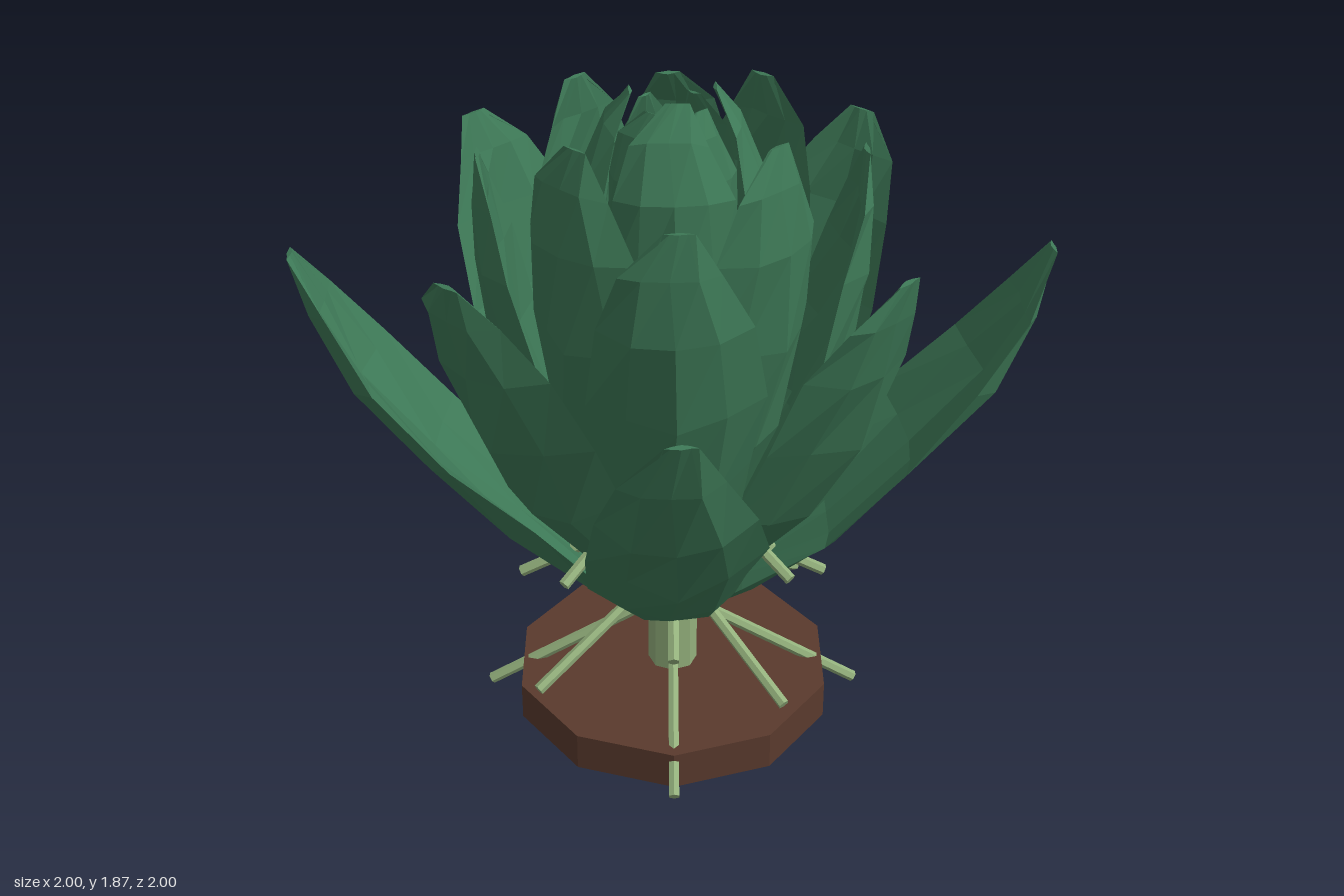
import * as THREE from 'three';

const leafGreen = new THREE.MeshStandardMaterial({ color: 0x3d7856, side: THREE.DoubleSide });
leafGreen.name = 'leafGreen';
leafGreen.flatShading = true;
const stemGreen = new THREE.MeshStandardMaterial({ color: 0x93b07c, flatShading: true });
stemGreen.name = 'stemGreen';
const baseBrown = new THREE.MeshStandardMaterial({ color: 0x5a3a2d, flatShading: true });
baseBrown.name = 'baseBrown';

// Shared leaf outline from root to tip, and the points around one cross-section
const WIDTHS = [0.26, 0.7, 0.93, 1, 0.85, 0.55, 0.17];
const CUPS = [0.25, 0.6, 0.95, 1, 0.78, 0.38, 0.03];
const ACROSS = [-1, -0.55, 0, 0.55, 1, 0.5, 0, -0.5];

// Cupped leaf pointing to +z along a spline of (radius, height) points:
// closed loops of outer and inner points, joined row by row
function leafGeometry(path, halfWidth, cupDepth) {
  const curve = new THREE.SplineCurve(path.map(([r, y]) => new THREE.Vector2(r, y)));
  const n = ACROSS.length;
  const last = WIDTHS.length - 1;
  const pos = [];
  const index = [];
  for (let i = 0; i <= last; i++) {
    const p = curve.getPoint(i / last);
    const dir = curve.getTangent(i / last);
    const w = WIDTHS[i] * halfWidth;
    const thick = Math.min(0.05, w * 0.3);
    const sway = 0.012 * Math.sin(i * 2.3);
    ACROSS.forEach((u, j) => {
      const inner = j > 4 ? thick * (1 - u * u * 0.6) : 0;
      const crease = 0.012 * Math.sin(i * 1.9 + j * 2.7) * Math.min(1, w / 0.2);
      const d = CUPS[i] * cupDepth * u * u * (1 + 0.15 * u) + inner + crease;
      pos.push(u * w + sway, p.y + dir.x * d, p.x - dir.y * d);
    });
  }
  for (let i = 0; i < last; i++) {
    for (let j = 0; j < n; j++) {
      const a = i * n + j;
      const b = i * n + (j + 1) % n;
      index.push(a, b, b + n, a, b + n, a + n);
    }
  }
  // Close the root and the tip
  const tip = last * n;
  for (let j = 1; j < n - 1; j++) {
    index.push(0, j + 1, j, tip, tip + j, tip + j + 1);
  }
  const geometry = new THREE.BufferGeometry();
  geometry.setAttribute('position', new THREE.Float32BufferAttribute(pos, 3));
  geometry.setIndex(index);
  const flat = geometry.toNonIndexed();
  flat.computeVertexNormals();
  return flat;
}

// Thin rod between two points
function rod(from, to, radius) {
  const dir = to.clone().sub(from);
  const mesh = new THREE.Mesh(new THREE.CylinderGeometry(radius, radius, dir.length(), 6), stemGreen);
  mesh.position.copy(from).addScaledVector(dir, 0.5);
  mesh.quaternion.setFromUnitVectors(new THREE.Vector3(0, 1, 0), dir.normalize());
  return mesh;
}

export function createModel() {
  const model = new THREE.Group();
  model.name = 'leafyPlant';

  // Ten-sided base
  const base = new THREE.Mesh(new THREE.CylinderGeometry(0.455, 0.455, 0.11, 10), baseBrown);
  base.name = 'base';
  base.position.y = 0.055;
  model.add(base);

  // Central stem
  const stem = new THREE.Mesh(new THREE.CylinderGeometry(0.07, 0.07, 1, 8), stemGreen);
  stem.name = 'stem';
  stem.position.y = 0.6;
  model.add(stem);

  // Sloping twigs in rings of four: angle, end radius, end height, start height
  const addTwigs = (angle, radius, yEnd, yStart) => {
    for (let k = 0; k < 4; k++) {
      const t = angle + k * Math.PI / 2;
      const end = new THREE.Vector3(Math.sin(t) * radius, yEnd, Math.cos(t) * radius);
      const twig = rod(new THREE.Vector3(0, yStart, 0), end, 0.016);
      twig.name = 'twig';
      model.add(twig);
    }
  };
  addTwigs(0, 0.53, 0.03, 0.34);
  addTwigs(0.68, 0.48, 0.22, 0.45);
  addTwigs(0, 0.43, 0.41, 0.63);
  addTwigs(0.82, 0.43, 0.58, 0.8);

  // Rings of four leaves, alternating between the axes and the diagonals
  const addLeaves = (name, turn, path, halfWidth, cupDepth) => {
    const geometry = leafGeometry(path, halfWidth, cupDepth);
    for (let k = 0; k < 4; k++) {
      const leaf = new THREE.Mesh(geometry, leafGreen);
      leaf.name = name;
      leaf.rotation.y = turn + k * Math.PI / 2;
      model.add(leaf);
    }
  };
  const diagonal = Math.PI / 4;
  addLeaves('outerLeaf', 0, [[0.04, 0.27], [0.47, 0.57], [0.87, 1.04], [1, 1.42]], 0.23, 0.12);
  addLeaves('lowerLeaf', diagonal, [[0.04, 0.3], [0.51, 0.83], [0.72, 1.32], [0.77, 1.59]], 0.24, 0.12);
  addLeaves('middleLeaf', 0, [[0.04, 0.35], [0.38, 0.87], [0.52, 1.4], [0.5, 1.7]], 0.23, 0.12);
  addLeaves('upperLeaf', diagonal, [[0.03, 0.4], [0.32, 0.96], [0.41, 1.54], [0.35, 1.81]], 0.22, 0.11);
  addLeaves('innerLeaf', 0, [[0.02, 0.5], [0.22, 1.1], [0.24, 1.65], [0.11, 1.87]], 0.18, 0.08);
  addLeaves('heartLeaf', diagonal, [[0.01, 0.6], [0.13, 1.2], [0.16, 1.65], [0.09, 1.83]], 0.13, 0.05);
  return model;
}
